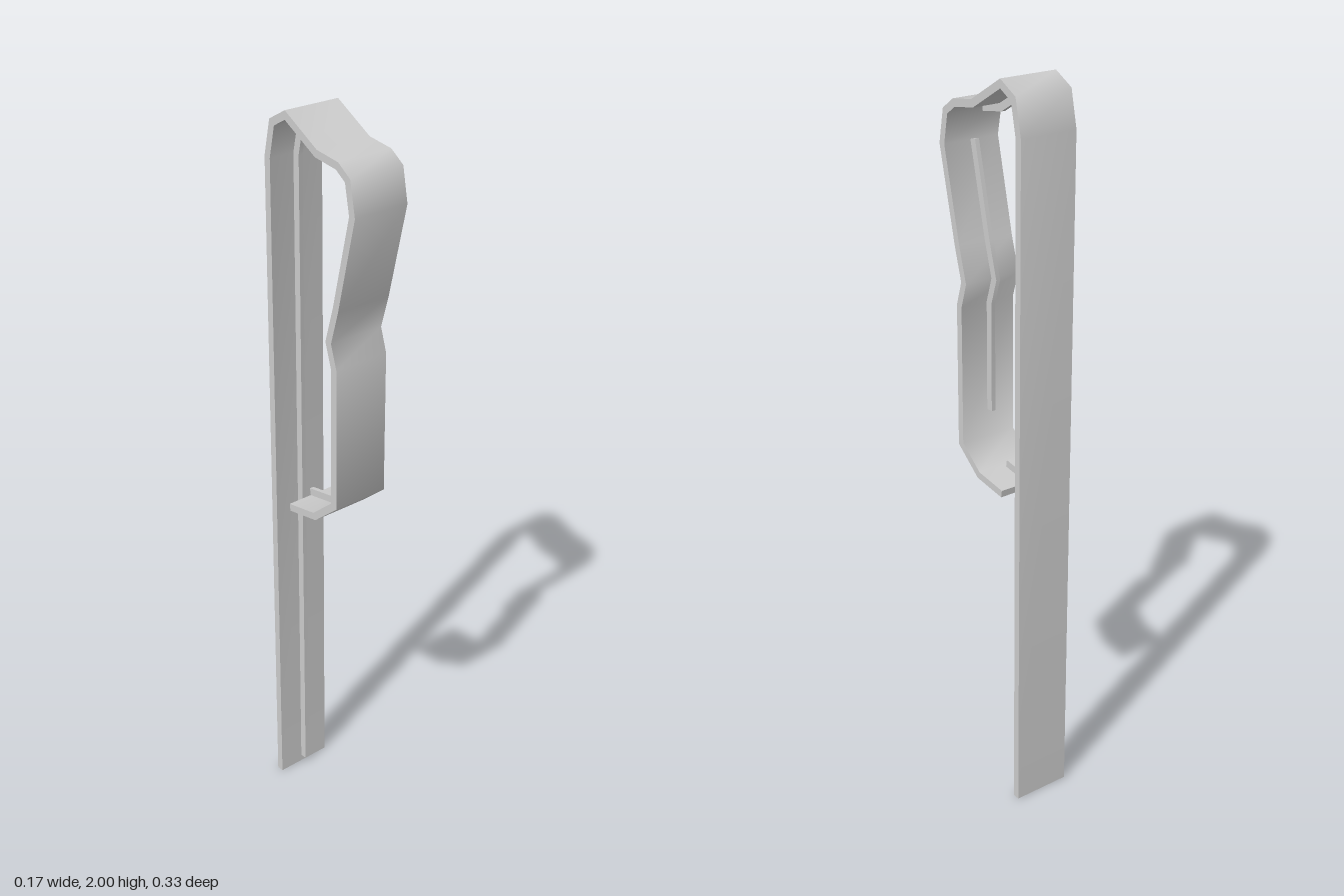
import * as THREE from 'three';
import { toCreasedNormals } from 'three/addons/utils/BufferGeometryUtils.js';

// Outer side of the bent strip as [z, y], from the foot of the back, over the top, down the front
const OUTER = [
  [-0.165, 0], [-0.165, 1.873], [-0.144, 1.968], [-0.085, 2], [0.03, 1.932],
  [0.106, 1.92], [0.148, 1.89], [0.165, 1.8], [0.106, 1.55], [0.08, 1.46],
  [0.1, 1.395], [0.1, 1.003], [0.016, 0.935], [-0.087, 0.919],
].map(([z, y]) => new THREE.Vector2(z, y));

const WIDTH = 0.165, THICK = 0.02, RIB_WIDTH = 0.012;

// Shift a path to its inner (right-hand) side, with mitred corners
function offsetPath(path, d) {
  const normals = path.slice(1).map((p, i) => {
    const t = p.clone().sub(path[i]).normalize();
    return new THREE.Vector2(t.y, -t.x);
  });
  return path.map((p, i) => {
    const a = normals[Math.max(i - 1, 0)];
    const b = normals[Math.min(i, normals.length - 1)];
    const m = a.clone().add(b);
    return p.clone().addScaledVector(m, d / (1 + a.dot(b)));
  });
}

// Solid band lying between two offsets of a path, centred on x
function band(name, path, from, to, width, x, material) {
  const shape = new THREE.Shape([...offsetPath(path, from), ...offsetPath(path, to).reverse()]);
  const raw = new THREE.ExtrudeGeometry(shape, { depth: width, bevelEnabled: false });
  raw.translate(0, 0, -width / 2).rotateY(-Math.PI / 2);
  const mesh = new THREE.Mesh(toCreasedNormals(raw, THREE.MathUtils.degToRad(62)), material);
  mesh.name = name;
  mesh.position.x = x;
  return mesh;
}

export function createModel() {
  const group = new THREE.Group();
  group.name = 'bentClip';
  const material = new THREE.MeshStandardMaterial({ color: 0xcccccc });

  // Bent strip
  group.add(band('strip', OUTER, 0, THICK, WIDTH, 0, material));

  // Thin stiffening ribs on the inner side, interrupted at the tight bends
  const v = (z, y) => new THREE.Vector2(z, y);
  const ribs = {
    backRib: [v(-0.165, 0.02), ...OUTER.slice(1, 5), v(0.098, 1.921)],
    frontRib: [v(0.164, 1.797), ...OUTER.slice(8, 11), v(0.1, 1.09)],
    lipRib: [v(0, 0.9325), v(-0.087, 0.919)],
  };
  for (const [name, path] of Object.entries(ribs)) {
    group.add(band(name, path, THICK * 0.7, THICK * 2, RIB_WIDTH, -0.003, material));
  }
  return group;
}
